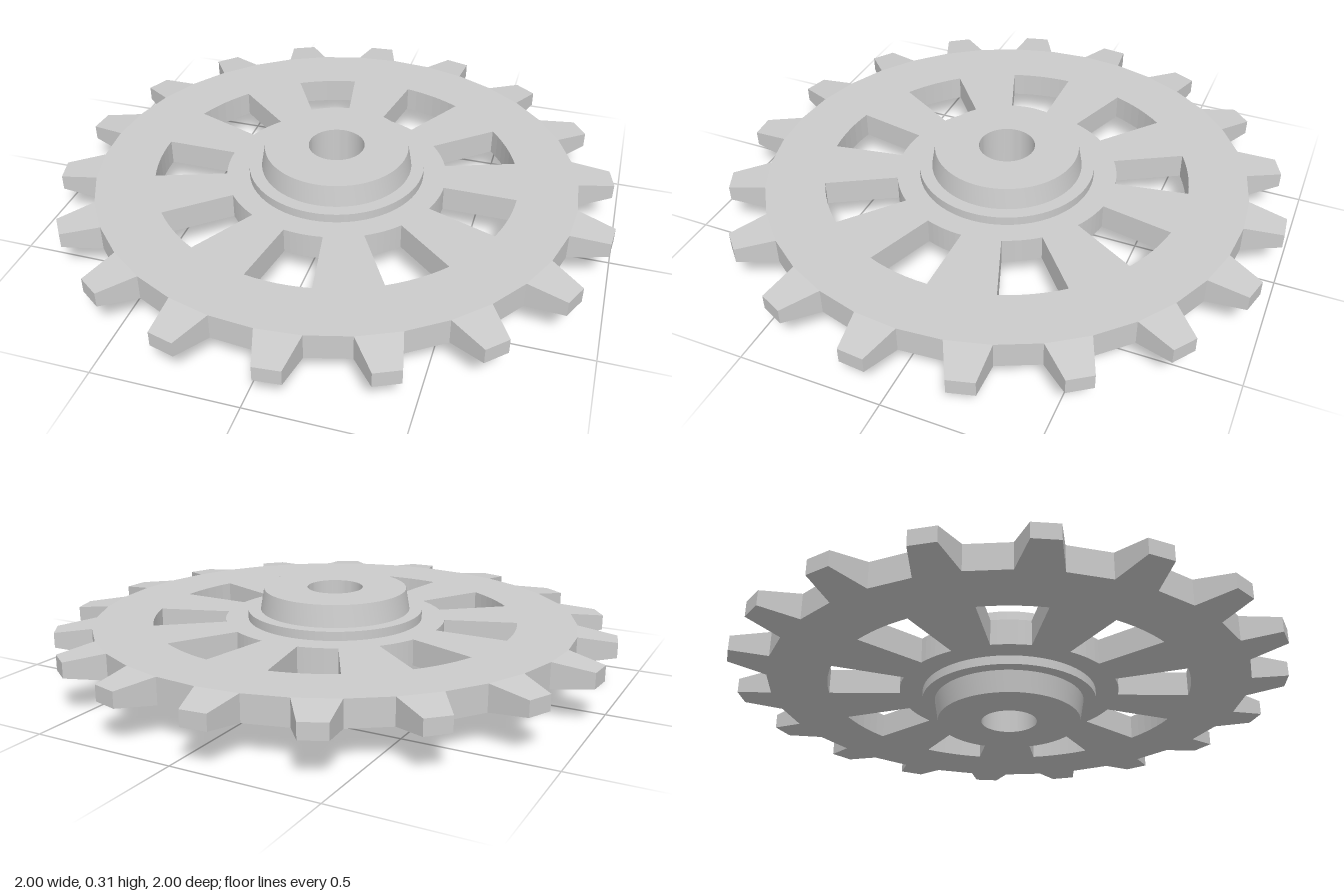
import * as THREE from 'three';
import { toCreasedNormals } from 'three/addons/utils/BufferGeometryUtils.js';

const RAD = Math.PI / 180;
const MID = 0.155;     // height of the plate's middle plane
const HALF = 0.046;    // half thickness of the plate
const ROOT = 0.866;    // radius at the tooth roots
const TEETH = 18;
const WINDOWS = 9;

const polar = (r, deg) => new THREE.Vector2(r * Math.cos(deg * RAD), r * Math.sin(deg * RAD));

// Points along an arc, both ends included
function arc(r, from, to, steps) {
  return Array.from({ length: steps + 1 }, (_, i) => polar(r, from + ((to - from) * i) / steps));
}

// Flat wheel with faceted rim, centre hole and lightening windows
function plateGeometry() {
  const shape = new THREE.Shape(arc(ROOT, 0, 350, 2 * TEETH - 1));
  shape.holes.push(new THREE.Path(arc(0.29, 360, 10, 35)));
  for (let i = 0; i < WINDOWS; i++) {
    const a = 10 + (i * 360) / WINDOWS;
    shape.holes.push(new THREE.Path([...arc(0.655, a - 10, a + 10, 6), ...arc(0.397, a + 10, a - 10, 6)]));
  }
  const geo = new THREE.ExtrudeGeometry(shape, { depth: 2 * HALF, bevelEnabled: false });
  return geo.rotateX(Math.PI / 2).translate(0, MID + HALF, 0);
}

// Tooth: a box narrowed and thinned towards its tip
function toothGeometry() {
  const geo = new THREE.BoxGeometry(2, 2, 2);
  const p = geo.attributes.position;
  for (let i = 0; i < p.count; i++) {
    const tip = p.getX(i) > 0;
    const v = polar(tip ? 1 : ROOT, p.getZ(i) * (tip ? 2.6 : 5));
    p.setXYZ(i, v.x, p.getY(i) * (tip ? 0.027 : HALF), v.y);
  }
  geo.computeVertexNormals();
  return geo;
}

// Hub: tapered collars above and below a flange, with a through bore
function hubGeometry() {
  const lower = [[0.1, 0], [0.257, 0], [0.27, 0.077], [0.315, 0.077]];
  const upper = lower.map(([r, y]) => [r, 2 * MID - y]).reverse();
  const profile = [...lower, ...upper, lower[0]].map(([r, y]) => new THREE.Vector2(r, y));
  return toCreasedNormals(new THREE.LatheGeometry(profile, 64), 0.5);
}

export function createModel() {
  const model = new THREE.Group();
  model.name = 'sprocket';
  const flat = new THREE.MeshStandardMaterial({ color: 0xcccccc, flatShading: true });
  const smooth = new THREE.MeshStandardMaterial({ color: 0xcccccc });

  const add = (name, geometry, material, parent = model) => {
    const mesh = new THREE.Mesh(geometry, material);
    mesh.name = name;
    parent.add(mesh);
    return mesh;
  };

  add('plate', plateGeometry(), flat);
  add('hub', hubGeometry(), smooth);

  // Ring of teeth
  const teeth = new THREE.Group();
  teeth.name = 'teeth';
  model.add(teeth);
  const tooth = toothGeometry();
  for (let i = 0; i < TEETH; i++) {
    const mesh = add('tooth', tooth, flat, teeth);
    mesh.position.y = MID;
    mesh.rotation.y = -(5 + (i * 360) / TEETH) * RAD;
  }
  return model;
}
